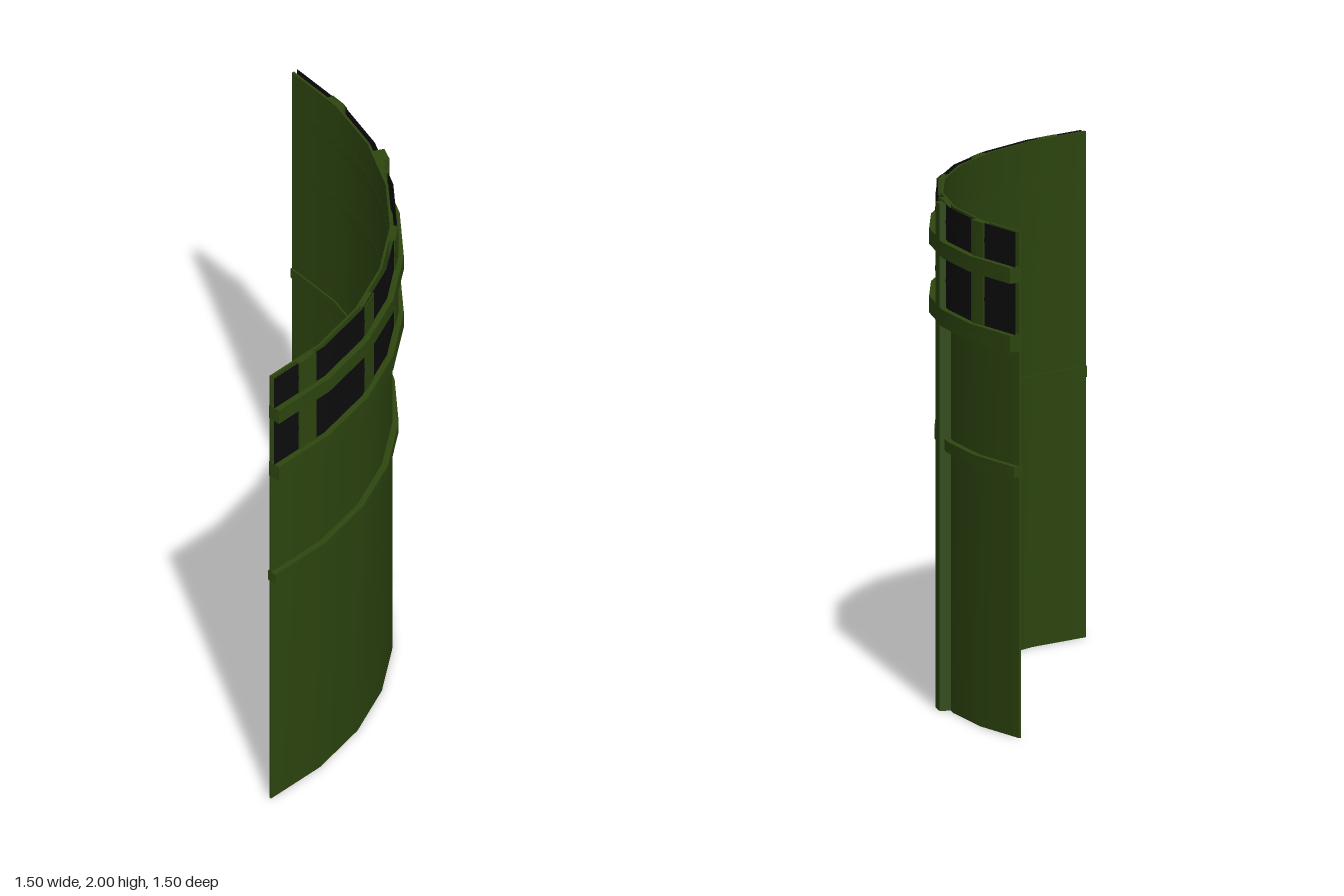
import * as THREE from 'three';
import { toCreasedNormals } from 'three/addons/utils/BufferGeometryUtils.js';

const STEP = Math.PI / 16; // eight facets over a quarter turn
const END = Math.PI / 2;
const CENTRE = -0.75;

// Faceted curved bar with a rectangular section, from angle a0 to a1
function arcBar(r0, r1, y0, y1, a0 = 0, a1 = END) {
  const angles = [a0];
  for (let i = 1; i < 8; i++) {
    if (i * STEP > a0 + 1e-4 && i * STEP < a1 - 1e-4) angles.push(i * STEP);
  }
  angles.push(a1);
  const corners = [[r0, y0], [r1, y0], [r1, y1], [r0, y1]];
  const sections = angles.map((a) => {
    // keep the point on the flat facet when it lies between two facet corners
    const facet = Math.min(7, Math.floor(a / STEP + 1e-6));
    const k = Math.cos(STEP / 2) / Math.cos(a - (facet + 0.5) * STEP);
    return corners.map(([r, y]) => [
      CENTRE + r * k * Math.sin(a), y, CENTRE + r * k * Math.cos(a),
    ]);
  });
  const pos = [];
  const quad = (a, b, c, d) => pos.push(...a, ...b, ...c, ...a, ...c, ...d);
  for (let i = 0; i < sections.length - 1; i++) {
    const s = sections[i], t = sections[i + 1];
    for (let k = 0; k < 4; k++) {
      const n = (k + 1) % 4;
      quad(s[k], t[k], t[n], s[n]);
    }
  }
  quad(...sections[0]);
  quad(...[...sections[sections.length - 1]].reverse());
  const geo = new THREE.BufferGeometry();
  geo.setAttribute('position', new THREE.Float32BufferAttribute(pos, 3));
  return toCreasedNormals(geo, 0.6);
}

export function createModel() {
  const green = new THREE.MeshStandardMaterial({ color: 0x2e4710 });
  green.name = 'dark green';
  const black = new THREE.MeshStandardMaterial({ color: 0x0d0d0d });
  black.name = 'black';

  const group = new THREE.Group();
  group.name = 'curvedWall';
  const add = (name, geo, mat) => {
    const mesh = new THREE.Mesh(geo, mat);
    mesh.name = name;
    group.add(mesh);
    return mesh;
  };

  // Main curved wall
  add('wall', arcBar(1.445, 1.455, 0, 2), green);

  // Horizontal bands
  add('middleBand', arcBar(1.438, 1.48, 1.03, 1.074), green);
  add('lowerRail', arcBar(1.4445, 1.5, 1.528, 1.595), green);
  add('upperRail', arcBar(1.4445, 1.5, 1.8, 1.862), green);

  // Dark panels and their thin dividing strips
  add('darkPanel', arcBar(1.472, 1.475, 1.595, 2), black);
  for (const y of [1.7, 1.933]) {
    add('panelStrip', arcBar(1.475, 1.477, y - 0.006, y + 0.006), black);
  }

  // Short green posts over the panels
  const half = 0.05 / 1.475;
  for (let i = 0; i < 5; i++) {
    const a = THREE.MathUtils.degToRad(7.4 + i * 18);
    add('panelPost', arcBar(1.455, 1.479, 1.595, 2, a - half, a + half), green);
  }

  // Full-height pillar on the outside
  const a = THREE.MathUtils.degToRad(64.1);
  const pillar = add('pillar', new THREE.BoxGeometry(0.072, 2, 0.048), green);
  pillar.position.set(CENTRE + 1.472 * Math.sin(a), 1, CENTRE + 1.472 * Math.cos(a));
  pillar.rotation.y = a;

  return group;
}
